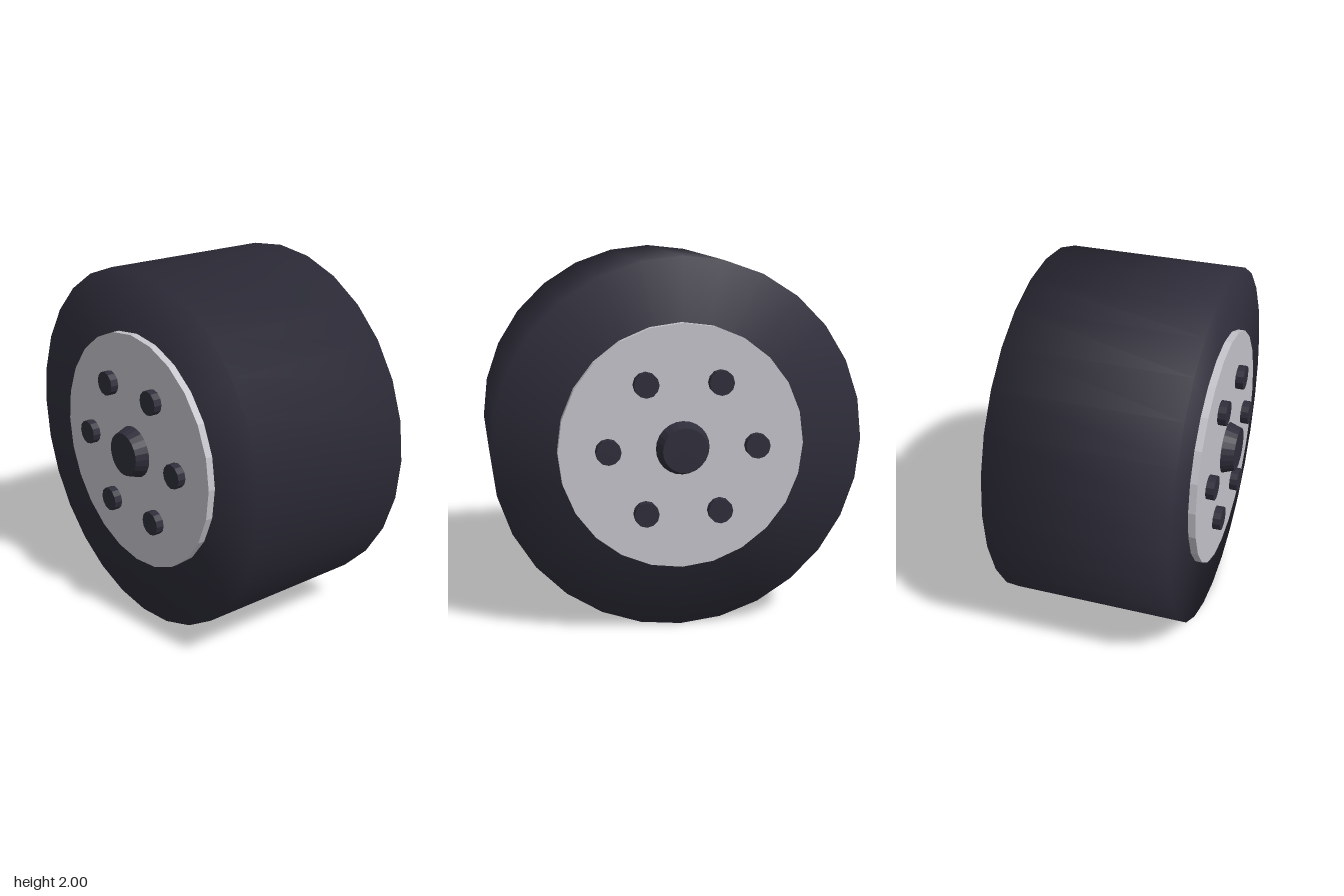
import * as THREE from 'three';

const tyreMat = new THREE.MeshStandardMaterial({ name: 'dark rubber', color: 0x2e2d3a });
const rimMat = new THREE.MeshStandardMaterial({ name: 'light metal', color: 0xc4c3ca });

// Cylinder lying along x, from x = x0 (radius r0) to x = x1 (radius r1), faceted
function disc(name, material, r0, r1, x0, x1, sides) {
  const geo = new THREE.CylinderGeometry(r1, r0, x1 - x0, sides).rotateZ(-Math.PI / 2);
  geo.translate((x0 + x1) / 2, 0, 0);
  const flat = geo.toNonIndexed();
  flat.computeVertexNormals();
  const mesh = new THREE.Mesh(flat, material);
  mesh.name = name;
  return mesh;
}

// Tyre: normals blend softly from tread to sidewall
function makeTyre() {
  const geo = new THREE.CylinderGeometry(1, 1, 1, 28).rotateZ(-Math.PI / 2);
  const p = geo.attributes.position, n = geo.attributes.normal;
  const v = new THREE.Vector3();
  for (let i = 0; i < p.count; i++) {
    v.set(Math.sign(p.getX(i)), p.getY(i), p.getZ(i)).normalize();
    n.setXYZ(i, v.x, v.y, v.z);
  }
  const mesh = new THREE.Mesh(geo, tyreMat);
  mesh.name = 'tyre';
  return mesh;
}

// Rim plate with a tapered hub cap and six wheel nuts
function makeWheelFace(name) {
  const face = new THREE.Group();
  face.name = name;
  face.add(disc('rim', rimMat, 0.66, 0.66, 0.48, 0.54, 24));
  face.add(disc('hubCap', tyreMat, 0.148, 0.12, 0.53, 0.61, 24));
  for (let i = 0; i < 6; i++) {
    const a = (i * Math.PI) / 3;
    const nut = disc('wheelNut', tyreMat, 0.067, 0.067, 0.53, 0.585, 12);
    nut.position.set(0, 0.4 * Math.sin(a), 0.4 * Math.cos(a));
    face.add(nut);
  }
  return face;
}

export function createModel() {
  const wheel = new THREE.Group();
  wheel.name = 'wheel';
  const left = makeWheelFace('leftFace');
  const right = makeWheelFace('rightFace');
  right.rotation.y = Math.PI;
  wheel.add(makeTyre(), left, right);
  wheel.position.y = 1;

  const model = new THREE.Group();
  model.name = 'wheelModel';
  model.add(wheel);
  return model;
}
